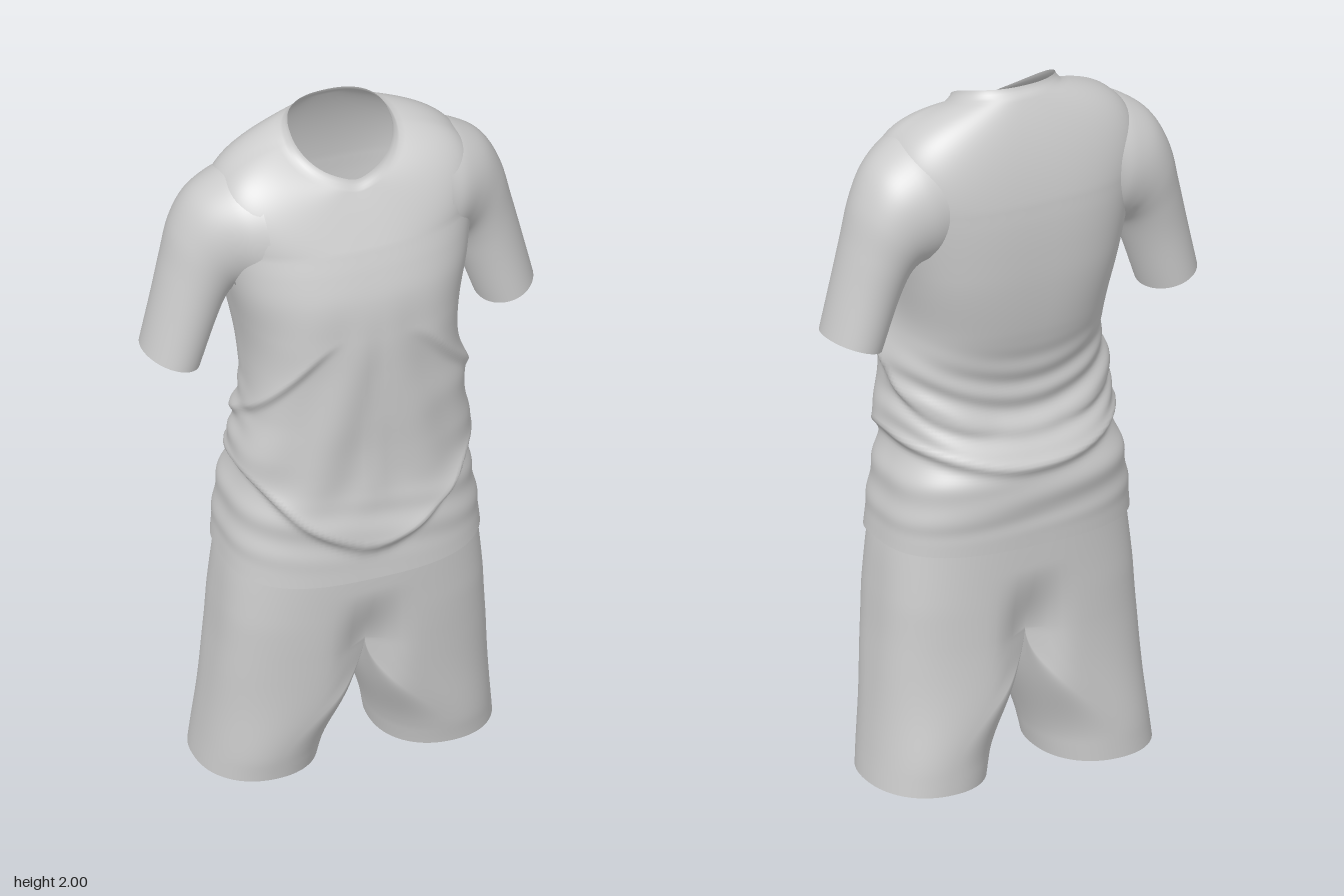
import * as THREE from 'three';
import { mergeGeometries, mergeVertices } from 'three/addons/utils/BufferGeometryUtils.js';

const { smoothstep, lerp } = THREE.MathUtils;

// Smooth lookup in a table of rows [key, value, value, ...]
function table(rows) {
  const n = rows[0].length - 1;
  const curve = new THREE.CubicInterpolant(rows.map(r => r[0]), rows.flatMap(r => r.slice(1)), n, new Array(n));
  return t => [...curve.evaluate(t)];
}

// Closed-ring surface: point(row, angle) gives [x, y, z]; skip leaves faces out
function loft(rows, cols, point, skip = () => false) {
  const pos = [], index = [];
  for (let i = 0; i <= rows; i++) {
    for (let j = 0; j < cols; j++) pos.push(...point(i, (j / cols) * Math.PI * 2));
  }
  for (let i = 0; i < rows; i++) {
    for (let j = 0; j < cols; j++) {
      if (skip(i, ((j + 0.5) / cols) * Math.PI * 2)) continue;
      const k = (j + 1) % cols;
      const a = i * cols + j, b = i * cols + k, c = a + cols, d = b + cols;
      index.push(a, c, b, b, c, d);
    }
  }
  const g = new THREE.BufferGeometry();
  g.setAttribute('position', new THREE.Float32BufferAttribute(pos, 3));
  g.setIndex(index);
  g.computeVertexNormals();
  return g;
}

const power = (v, e) => Math.sign(v) * Math.abs(v) ** e;

// Cloth ridge: soft above the line, sharply undercut below it
const ridge = (d, soft, sharp) => d > 0 ? Math.exp(-d / soft) : Math.exp(-((d / sharp) ** 2));

// Shirt torso: height, half width, front z, back z
const torso = table([
  [0.69, 0.358, 0.238, -0.236], [0.80, 0.346, 0.232, -0.240], [0.88, 0.334, 0.230, -0.244],
  [0.96, 0.308, 0.226, -0.214], [1.06, 0.308, 0.226, -0.180], [1.18, 0.286, 0.232, -0.190],
  [1.32, 0.288, 0.236, -0.226], [1.45, 0.308, 0.238, -0.247], [1.56, 0.330, 0.230, -0.255],
  [1.64, 0.345, 0.207, -0.256], [1.70, 0.356, 0.184, -0.253]
]);

// Gathered cloth around the waist and the long diagonal folds
function folds(x, y, z) {
  const ax = Math.min(1, Math.abs(x) / 0.31);
  const front = smoothstep(z, -0.12, 0.12);
  const lip = lerp(0.93 + 0.07 * ax * ax, 0.785 + 0.225 * ax ** 1.8, front);
  let f = 0.024 * ridge(y - lip, 0.07, 0.022);
  const q = z / 0.24;
  const diagonal = 1.15 + 0.16 * q + 0.17 * Math.max(0, q) ** 4;
  f += 0.015 * ridge(y - diagonal, 0.06, 0.02) * smoothstep(Math.abs(x), 0.08, 0.2);
  // curved creases low on the back
  const low = smoothstep(y, 0.95, 1.02) * (1 - smoothstep(y, 1.12, 1.3));
  f += 0.005 * Math.sin((y - 0.12 * ax * ax) * 75) * low * (1 - front);
  // slanting pulls on the belly
  const belly = smoothstep(y, 0.85, 1.0) * (1 - smoothstep(y, 1.3, 1.6));
  f += 0.005 * Math.sin(Math.abs(x) * 34 + y * 9) * belly * front;
  // shallow waves above the hem
  f += 0.003 * Math.sin(y * 55 + x * 9) * smoothstep(y, 0.72, 0.78) * (1 - smoothstep(y, 0.85, 0.95));
  return f;
}

function torsoPoint(y, a) {
  const [w, zf, zb] = torso(y);
  // the belly, hem and upper back are squarer than the chest
  const e = Math.sin(a) < 0
    ? 0.82 - 0.08 * (1 - smoothstep(y, 0.8, 0.95)) - 0.14 * smoothstep(y, 1.2, 1.5)
    : lerp(0.73, 0.82, smoothstep(y, 1.1, 1.4));
  const c = power(Math.cos(a), e), s = power(Math.sin(a), e);
  let x = w * c, z = (zf + zb) / 2 + ((zf - zb) / 2) * s;
  const f = folds(x, y, z);
  x += f * Math.cos(a) + 0.02 * Math.max(0, c) * Math.exp(-(((y - 1.2) / 0.07) ** 2));
  z += f * Math.sin(a);
  // the hem dips at the front
  const hem = 0.022 * Math.max(0, Math.sin(a)) * (1 - smoothstep(y, 0.69, 0.8));
  return [x, y - hem, z];
}

function neckPoint(a, grow, drop) {
  const e = Math.sin(a) < 0 ? 0.85 : 1;
  const c = power(Math.cos(a), e), s = power(Math.sin(a), e);
  const vee = 0.008 * Math.exp(-((c / 0.25) ** 2)) * Math.max(0, s);
  return [(0.14 + grow) * c, 1.965 - 0.062 * s - 0.027 * s * s - drop - vee, -0.03 + (0.12 + grow) * s];
}

// Torso, then shoulders curving in to the neck, then a short collar; open where the sleeves join
function shirtBody() {
  const low = 110, mid = 28, collar = 4;
  return loft(low + mid + collar, 144, (i, a) => {
    if (i <= low) return torsoPoint(lerp(0.69, 1.70, i / low), a);
    if (i > low + mid) {
      const t = (i - low - mid) / collar;
      return neckPoint(a, 0.018 * (1 - t) ** 1.5, 0.024 * (1 - t));
    }
    const t = (i - low) / mid, s = Math.sin(a);
    const p = torsoPoint(1.70, a), n = neckPoint(a, 0.018, 0.024);
    const m = [p[0] * 1.14, 1.905 - (s > 0 ? 0.115 : 0.05) * s * s, p[2] * (s > 0 ? 0.76 : 0.93)];
    return p.map((v, k) => (1 - t) ** 2 * v + 2 * t * (1 - t) * m[k] + t * t * n[k]);
  }, (i, a) => i >= 97 && i < low + 4 && Math.abs(Math.sin(a)) < 0.2);
}

// Sleeve, flaring into the shoulder: outer x and y, inner x and y, front z, back z
const sleeve = table([
  [0, 0.550, 1.350, 0.395, 1.300, 0.040, -0.168],
  [1, 0.518, 1.490, 0.350, 1.430, 0.041, -0.175],
  [2, 0.490, 1.610, 0.318, 1.505, 0.046, -0.188],
  [3, 0.462, 1.720, 0.290, 1.530, 0.058, -0.203],
  [4, 0.415, 1.808, 0.265, 1.525, 0.082, -0.214],
  [5, 0.342, 1.863, 0.250, 1.520, 0.114, -0.221],
  [6, 0.270, 1.890, 0.240, 1.515, 0.132, -0.220]
]);

function sleeveGeometry(side) {
  const rows = 40;
  return loft(rows, 72, (i, angle) => {
    const a = side > 0 ? angle : Math.PI - angle;
    const [ox, oy, ix, iy, zf, zb] = sleeve((6 * i) / rows);
    const k = (1 + Math.cos(a)) / 2;
    return [side * lerp(ix, ox, k), lerp(iy, oy, k), (zf + zb) / 2 + ((zf - zb) / 2) * Math.sin(a)];
  });
}

// Shorts leg: height, outer x, inner x, front z, back z
const leg = table([
  [0.005, 0.414, 0.082, 0.148, -0.222], [0.20, 0.394, 0.048, 0.180, -0.220],
  [0.34, 0.382, 0.018, 0.199, -0.218], [0.42, 0.375, 0, 0.207, -0.217],
  [0.55, 0.366, 0, 0.216, -0.217], [0.70, 0.350, 0, 0.224, -0.220], [0.76, 0.336, 0, 0.222, -0.220]
]);

// Two round legs whose sections flatten and join at the crotch
function shortsGeometry() {
  const cols = 96, below = 44, above = 30, crotch = 0.42;
  const half = side => loft(below + above, cols, (i, angle) => {
    const a = side > 0 ? angle : Math.PI - angle;
    const y = i <= below ? lerp(0.005, crotch, i / below) : lerp(crotch, 0.76, (i - below) / above);
    const [out, inn, zf, zb] = leg(y);
    const c = Math.cos(a), s = Math.sin(a);
    const join = smoothstep(y, 0.06, crotch);
    const waist = 0.07 * smoothstep(y, 0.5, 0.7);
    const round = (out + inn) / 2 + ((out - inn) / 2) * power(c, 0.92);
    const x = lerp(round, c > 1e-9 ? out * power(c, 0.72 + waist) : 0, join);
    const groin = 0.27 * Math.exp(-((x / 0.065) ** 2)) * join * (1 - smoothstep(y, 0.4, 0.62));
    const z = (zf + zb) / 2 + ((zf - zb) / 2) * power(s, lerp(0.9, 0.68 + waist, join)) * (1 - groin);
    return [side * x, y + 0.012 * (1 - smoothstep(y, 0, 0.1)) * (0.5 + 0.5 * s), z];
  }, (i, angle) => i >= below && side * Math.cos(angle) < 0);
  const both = mergeGeometries([half(1), half(-1)]);
  both.deleteAttribute('normal');
  const joined = mergeVertices(both, 1e-4);
  joined.computeVertexNormals();
  return joined;
}

export function createModel() {
  const cloth = new THREE.MeshStandardMaterial({ color: 0xcccccc, side: THREE.DoubleSide });
  cloth.name = 'light grey cloth';
  const model = new THREE.Group();
  model.name = 'shirtAndShorts';
  const add = (name, geometry) => {
    const mesh = new THREE.Mesh(geometry, cloth);
    mesh.name = name;
    model.add(mesh);
  };
  add('shirtBody', shirtBody());
  add('leftSleeve', sleeveGeometry(1));
  add('rightSleeve', sleeveGeometry(-1));
  add('shorts', shortsGeometry());
  return model;
}
